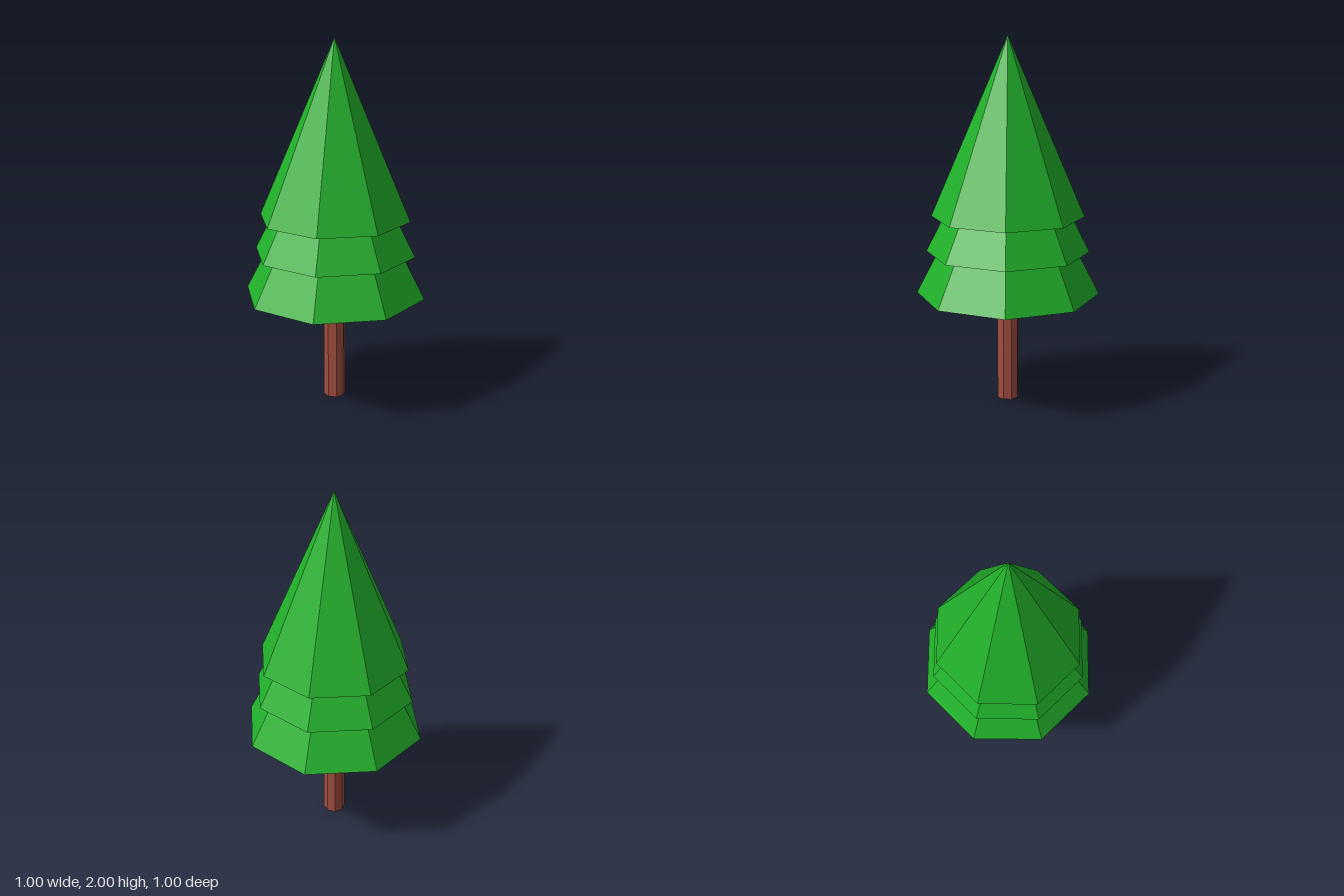
import * as THREE from 'three';

export function createModel() {
  const tree = new THREE.Group();
  tree.name = 'pineTree';
  const leaf = new THREE.MeshStandardMaterial({ color: 0x21b02a, flatShading: true });
  const bark = new THREE.MeshStandardMaterial({ color: 0xa04e40, flatShading: true });

  // Octagonal trunk with a flat face to the front
  const trunkTop = 0.62;
  const trunk = new THREE.Mesh(new THREE.CylinderGeometry(0.06, 0.06, trunkTop, 8), bark);
  trunk.name = 'trunk';
  trunk.rotation.y = Math.PI / 8;
  trunk.position.y = trunkTop / 2;
  tree.add(trunk);

  // Overlapping eight-sided foliage cones, each with a closed base
  const tiers = [
    { name: 'lowerFoliage', radius: 0.5, base: 0.6, apex: 1.57 },
    { name: 'middleFoliage', radius: 0.445, base: 0.835, apex: 1.71 },
    { name: 'upperFoliage', radius: 0.416, base: 1.03, apex: 2 },
  ];
  for (const { name, radius, base, apex } of tiers) {
    const cone = new THREE.Mesh(new THREE.ConeGeometry(radius, apex - base, 8), leaf);
    cone.name = name;
    cone.position.y = (base + apex) / 2;
    tree.add(cone);
  }
  return tree;
}
